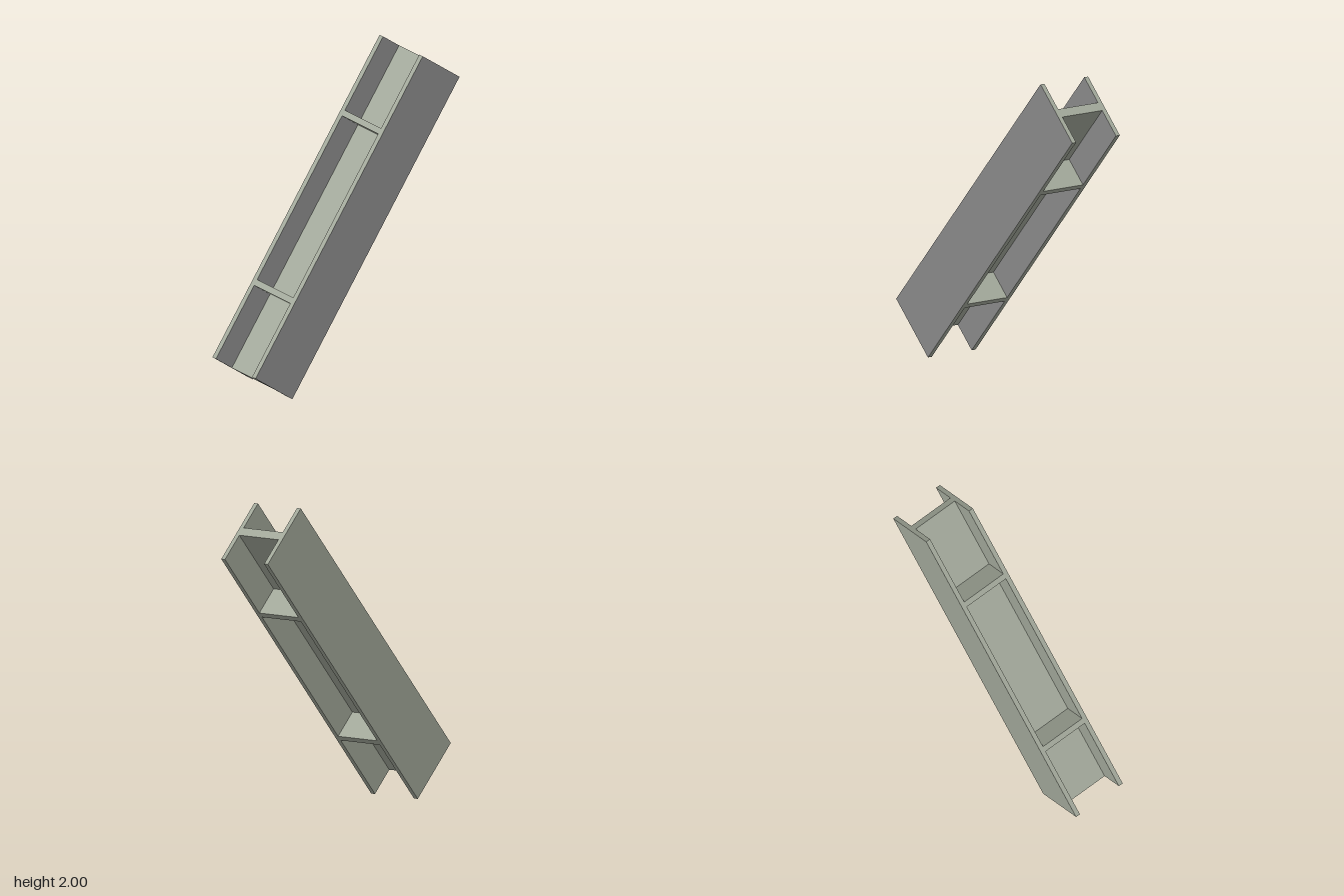
import * as THREE from 'three';

const LENGTH = 2.291, DEPTH = 0.465; // beam length and flange width
const INNER = 0.31, FLANGE = 0.03;   // gap between flanges, flange thickness

export function createModel() {
  const green = new THREE.MeshStandardMaterial({ color: 0xa0a698 });
  green.name = 'greenGreySteel';
  const grey = new THREE.MeshStandardMaterial({ color: 0x8c8c8c });
  grey.name = 'neutralGreySteel';

  const model = new THREE.Group();
  model.name = 'leaningBeam';
  const beam = new THREE.Group();
  beam.name = 'beam';
  beam.position.y = 1;
  beam.rotation.z = THREE.MathUtils.degToRad(47.3);
  model.add(beam);

  const addBox = (name, size, position, material) => {
    const mesh = new THREE.Mesh(new THREE.BoxGeometry(...size), material);
    mesh.name = name;
    mesh.position.set(...position);
    beam.add(mesh);
  };

  // Two side flanges, with the neutral grey on the faces toward the front
  const flangeFaces = [green, green, green, green, grey, green];
  for (const [name, side] of [['frontFlange', 1], ['backFlange', -1]]) {
    addBox(name, [LENGTH, DEPTH, FLANGE], [0, 0, side * (INNER + FLANGE) / 2], flangeFaces);
  }

  // Web joining the flanges along their middle
  const WEB = 0.062;
  addBox('web', [LENGTH, WEB, INNER], [0, 0, 0], green);

  // Two pairs of stiffener plates, above and below the web
  const height = (DEPTH - WEB) / 2;
  for (const end of [-1, 1]) {
    for (const side of [-1, 1]) {
      const name = (end > 0 ? 'upper' : 'lower') + 'Stiffener' + (side > 0 ? 'Top' : 'Bottom');
      addBox(name, [0.04, height, INNER], [end * 0.602, side * (WEB + height) / 2, 0], green);
    }
  }
  return model;
}
